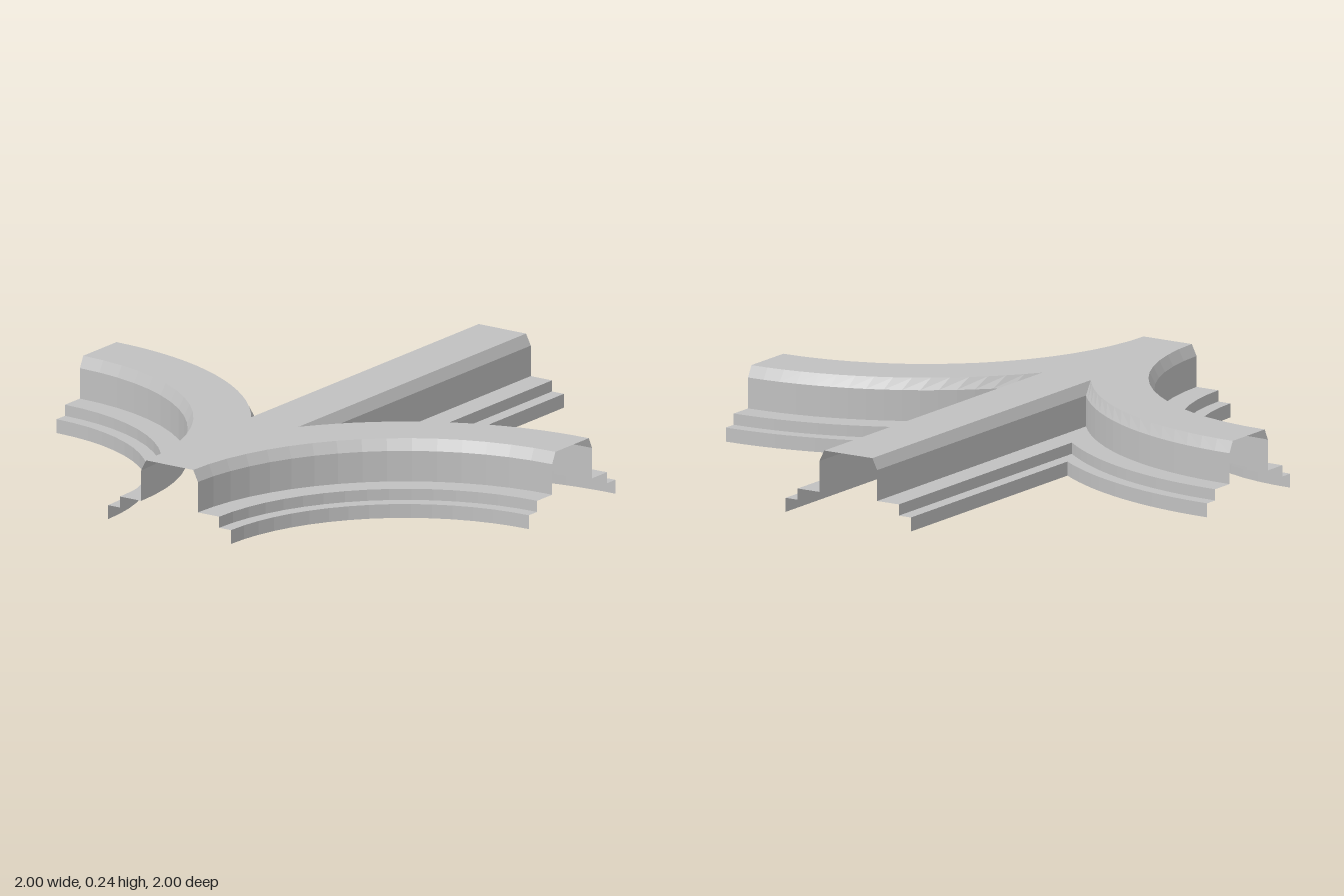
import * as THREE from 'three';

// Half cross-section of the shell: [distance from centre line, height]
const PROFILE = [
  [0.10, 0.24], [0.12, 0.20], [0.12, 0.09], [0.21, 0.09],
  [0.21, 0.05], [0.26, 0.05], [0.26, 0],
];
const ARC_STEPS = 16;

// Each path gives [x, z] on the +x side for offset d and parameter u in 0..1.
// The branches are unit-radius quarter circles about (1, 1).
const innerArc = (d, u) => {
  const t = u * Math.PI / 2, r = 1 - d;
  return [1 - r * Math.cos(t), 1 - r * Math.sin(t)];
};
// The outer arc starts where it meets the straight arm at x = d.
const outerArc = (d, u) => {
  const r = 1 + d, t0 = Math.acos((1 - d) / r);
  const t = t0 + (Math.PI / 2 - t0) * u;
  return [1 - r * Math.cos(t), 1 - r * Math.sin(t)];
};
const straight = (d, u) => [d, -1 + (2 - 2 * Math.sqrt(d)) * u];

// Sweep the half profile along a path, on side s (+1 or -1)
function sweep(path, steps, s, flip) {
  const pos = [];
  const point = (k, j) => {
    const [d, y] = PROFILE[k];
    const [x, z] = path(d, j / steps);
    return [s * x, y, z];
  };
  for (let k = 0; k < PROFILE.length - 1; k++) {
    for (let j = 0; j < steps; j++) {
      const a = point(k, j), b = point(k + 1, j);
      const c = point(k + 1, j + 1), e = point(k, j + 1);
      if (flip) pos.push(...a, ...c, ...b, ...a, ...e, ...c);
      else pos.push(...a, ...b, ...c, ...a, ...c, ...e);
    }
  }
  const geo = new THREE.BufferGeometry();
  geo.setAttribute('position', new THREE.Float32BufferAttribute(pos, 3));
  geo.computeVertexNormals();
  return geo;
}

// Flat roof covering all four arms
function roofGeometry() {
  const d = PROFILE[0][0], half = [];
  const add = (path, n, reverse) => {
    for (let j = 0; j <= n; j++) {
      const [x, z] = path(d, (reverse ? n - j : j) / n);
      half.push(new THREE.Vector2(x, -z));
    }
  };
  add(innerArc, ARC_STEPS, false);
  add(outerArc, ARC_STEPS, true);
  half.push(new THREE.Vector2(d, 1));
  const mirrored = half.map(p => new THREE.Vector2(-p.x, p.y)).reverse();
  const geo = new THREE.ShapeGeometry(new THREE.Shape([...half, ...mirrored]));
  geo.rotateX(-Math.PI / 2);
  geo.translate(0, PROFILE[0][1], 0);
  return geo;
}

export function createModel() {
  const group = new THREE.Group();
  group.name = 'trackJunction';
  const grey = new THREE.MeshStandardMaterial({ color: 0xc0c0c0, side: THREE.DoubleSide, flatShading: true });
  grey.name = 'light grey';

  const add = (name, geo) => {
    const mesh = new THREE.Mesh(geo, grey);
    mesh.name = name;
    group.add(mesh);
  };

  add('roof', roofGeometry());
  // Stepped walls, mirrored left and right
  for (const [side, s] of [['left', 1], ['right', -1]]) {
    add(side + 'FrontCurvedWall', sweep(innerArc, ARC_STEPS, s, s < 0));
    add(side + 'BackCurvedWall', sweep(outerArc, ARC_STEPS, s, s > 0));
    add(side + 'StraightWall', sweep(straight, 1, s, s > 0));
  }
  return group;
}
